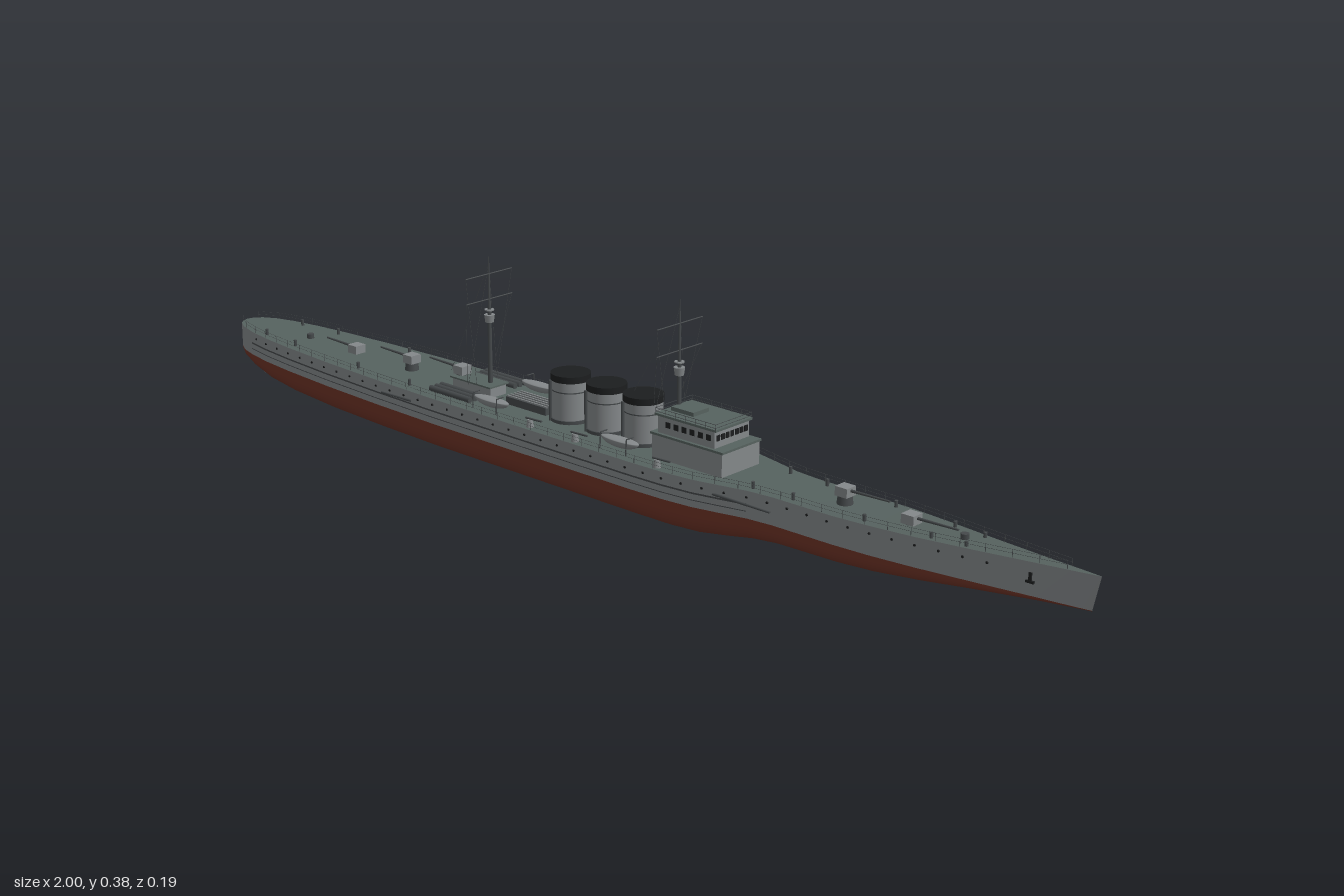
import * as THREE from 'three';
import { mergeGeometries } from 'three/addons/utils/BufferGeometryUtils.js';

const mat = (name, color, side = THREE.FrontSide) => {
  const m = new THREE.MeshStandardMaterial({ color, side });
  m.name = name;
  return m;
};

// Hull stations: x, half beam, deck height, keel height
const WATER = 0.06;
const stations = [
  [-1, 0, 0.108, 0.059], [-0.996, 0.014, 0.108, 0.057], [-0.985, 0.027, 0.108, 0.052], [-0.96, 0.041, 0.108, 0.042],
  [-0.92, 0.053, 0.108, 0.029], [-0.86, 0.064, 0.108, 0.016], [-0.78, 0.073, 0.108, 0.008], [-0.65, 0.083, 0.108, 0.003],
  [-0.5, 0.09, 0.108, 0.001], [-0.35, 0.094, 0.108, 0], [-0.1, 0.095, 0.108, 0], [0.15, 0.095, 0.108, 0],
  [0.22, 0.093, 0.108, 0], [0.28, 0.087, 0.108, 0.002], [0.33, 0.076, 0.108, 0.008], [0.38, 0.064, 0.108, 0.015],
  [0.43, 0.059, 0.108, 0.019], [0.55, 0.058, 0.108, 0.021], [0.62, 0.054, 0.109, 0.024], [0.7, 0.045, 0.11, 0.031],
  [0.8, 0.03, 0.112, 0.042], [0.9, 0.014, 0.115, 0.052], [0.96, 0.005, 0.117, 0.057], [0.988, 0, 0.118, 0.059],
];

function hullAt(x) {
  let i = 1;
  while (i < stations.length - 1 && stations[i][0] < x) i++;
  const a = stations[i - 1], b = stations[i], t = (x - a[0]) / (b[0] - a[0]);
  return a.map((v, k) => v + (b[k] - v) * t);
}

// Skin a list of cross-sections, each running so that the outside faces out
function skin(sections) {
  const n = sections[0].length, pos = [], idx = [];
  sections.forEach((s) => s.forEach((p) => pos.push(...p)));
  for (let i = 0; i < sections.length - 1; i++) {
    for (let j = 0; j < n - 1; j++) {
      const a = i * n + j, b = a + 1, c = a + n, d = c + 1;
      idx.push(a, b, c, b, d, c);
    }
  }
  const g = new THREE.BufferGeometry();
  g.setAttribute('position', new THREE.Float32BufferAttribute(pos, 3));
  g.setIndex(idx);
  g.computeVertexNormals();
  g.deleteAttribute('uv');
  return g;
}

const rake = (x, y) => x + Math.max(0, (x - 0.8) / 0.188) * 0.012 * Math.max(0, (y - WATER) / 0.058);

function box(w, h, d, x, y, z) {
  return new THREE.BoxGeometry(w, h, d).translate(x, y, z);
}
function cyl(r1, r2, h, x, y, z, n = 16, open = false) {
  return new THREE.CylinderGeometry(r1, r2, h, n, 1, open).translate(x, y, z);
}
function rod(a, b, r, n = 5, r2 = r) {
  const p = new THREE.Vector3(...a), q = new THREE.Vector3(...b), d = q.clone().sub(p);
  const g = new THREE.CylinderGeometry(r2, r, d.length(), n);
  g.applyQuaternion(new THREE.Quaternion().setFromUnitVectors(new THREE.Vector3(0, 1, 0), d.normalize()));
  return g.translate(...p.add(q).multiplyScalar(0.5).toArray());
}

export function createModel() {
  const ship = new THREE.Group();
  ship.name = 'warship';
  const grey = mat('hullGrey', 0x84888a);
  const deckMat = mat('deckGreen', 0x56625f);
  const red = mat('bottomRed', 0x6e3326);
  const black = mat('black', 0x1c1e1f, THREE.DoubleSide);
  const dark = mat('darkGrey', 0x45494b);
  const add = (name, m, ...geos) => {
    const mesh = new THREE.Mesh(geos.length > 1 ? mergeGeometries(geos) : geos[0], m);
    mesh.name = name;
    ship.add(mesh);
  };

  // Hull: two sides, underwater body, deck
  const side = (s, y0, y1, off = 0, list = stations) => skin(list.map(([x, w, d]) => {
    const hi = y1 ?? d, z = s * (w + off);
    const top = [rake(x, hi), hi, z], low = [rake(x, y0), y0, z];
    return s > 0 ? [top, low] : [low, top];
  }));
  add('hullSides', grey, side(1, WATER), side(-1, WATER));
  add('hullBottom', red, skin(stations.map(([x, w, , keel]) => {
    const n = x > 0.6 ? 2 + (0.99 - x) * 3 : 3.3, ring = [];
    for (let j = 0; j <= 24; j++) {
      const t = (j / 24) * Math.PI, c = Math.cos(t);
      ring.push([x, WATER - (WATER - keel) * Math.pow(Math.abs(Math.sin(t)), 2 / n),
        j === 12 ? 0 : w * Math.sign(c) * Math.pow(Math.abs(c), 2 / n)]);
    }
    return ring;
  })));
  add('deck', deckMat, skin(stations.map(([x, w, d]) => [[rake(x, d), d, -w], [rake(x, d), d, w]])));
  const beltStations = stations.filter(([x]) => x > -0.95 && x < 0.4);
  add('sideBelts', dark, ...[1, -1].flatMap((s) => [side(s, 0.0835, 0.0865, 0.0008, beltStations),
    side(s, 0.072, 0.0735, 0.0008, beltStations)]));
  add('rudder', grey, box(0.07, 0.034, 0.005, -0.915, 0.022, 0));

  // Portholes and anchors
  const ports = [], anchors = [];
  for (const s of [1, -1]) {
    for (let x = -0.9; x < 0.86; x += 0.04) {
      ports.push(new THREE.CylinderGeometry(0.0022, 0.0022, 0.004, 8).rotateX(Math.PI / 2).translate(x, 0.097, s * hullAt(x)[1]));
    }
    anchors.push(box(0.005, 0.016, 0.004, 0.89, 0.09, s * 0.0165), box(0.014, 0.004, 0.005, 0.89, 0.083, s * 0.0165));
  }
  add('portholes', black, ...ports);
  add('anchors', black, ...anchors);

  // Deck railing
  const rails = [];
  for (const s of [1, -1]) {
    const edge = (x, h) => { const [, w, d] = hullAt(x); return [rake(x, d), d + h, s * Math.max(w - 0.002, 0)]; };
    for (let i = 0; i < 48; i++) {
      const x = -0.99 + i * 0.041, e = edge(x, 0);
      rails.push(rod(e, edge(x, 0.013), 0.0006, 4));
      if (i < 47) for (const h of [0.007, 0.013]) rails.push(rod(edge(x, h), edge(x + 0.041, h), 0.0003, 3));
    }
  }
  add('railing', dark, ...rails);

  // Bridge: two storeys with dark windows and walkable roofs
  add('bridgeLower', grey, box(0.155, 0.042, 0.096, 0.235, 0.129, 0));
  add('bridgeUpper', grey, box(0.125, 0.034, 0.088, 0.23, 0.167, 0));
  add('bridgeRoofs', deckMat, box(0.16, 0.004, 0.1, 0.235, 0.151, 0), box(0.135, 0.004, 0.094, 0.23, 0.185, 0),
    box(0.05, 0.008, 0.04, 0.2, 0.19, 0));
  const panes = [];
  for (let i = -3; i <= 3; i++) panes.push(box(0.002, 0.01, 0.008, 0.293, 0.17, i * 0.0118));
  for (const s of [1, -1]) for (let i = 0; i < 6; i++) panes.push(box(0.01, 0.01, 0.002, 0.19 + i * 0.018, 0.17, s * 0.0442));
  add('bridgeWindows', black, ...panes);
  const roofRail = [];
  for (const h of [0.19, 0.196]) {
    for (const s of [1, -1]) roofRail.push(rod([0.164, h, s * 0.046], [0.296, h, s * 0.046], 0.0005, 4));
    for (const x of [0.164, 0.296]) roofRail.push(rod([x, h, -0.046], [x, h, 0.046], 0.0005, 4));
  }
  for (let i = 0; i < 7; i++) for (const s of [1, -1]) {
    const x = 0.164 + i * 0.022;
    roofRail.push(rod([x, 0.185, s * 0.046], [x, 0.196, s * 0.046], 0.0006, 4));
  }
  add('bridgeRailing', dark, ...roofRail);

  // Three funnels with black caps
  for (const x of [-0.08, 0.007, 0.094]) {
    add('funnel', grey, cyl(0.034, 0.034, 0.08, x, 0.147, 0, 28));
    add('funnelCap', black, cyl(0.036, 0.036, 0.012, x, 0.189, 0, 28));
    add('funnelBands', dark, cyl(0.0348, 0.0348, 0.002, x, 0.165, 0, 28), cyl(0.037, 0.037, 0.006, x, 0.111, 0, 28));
    add('steamPipes', dark, ...[1, -1].map((s) => cyl(0.003, 0.003, 0.075, x - 0.02, 0.145, s * 0.031, 8)));
  }

  // Masts with lookout, yards and rigging
  for (const [x, top, foot] of [[0.175, 0.377, 0.19], [-0.285, 0.367, 0.13]]) {
    add('mast', dark, rod([x, 0.108, 0], [x, 0.27, 0], 0.0045, 10, 0.0035), rod([x, 0.27, 0], [x, top, 0], 0.003, 8, 0.0008));
    add('lookout', grey, cyl(0.01, 0.008, 0.014, x, 0.252, 0, 12), cyl(0.009, 0.009, 0.002, x, 0.268, 0, 12));
    const yards = [0.335, 0.288].map((y) => rod([x, y, -0.057], [x, y, 0.057], 0.0012, 6));
    const lines = [rod([x, top - 0.01, 0], [x - 0.105, foot, 0], 0.0004, 3)];
    for (const s of [1, -1]) {
      lines.push(rod([x, top - 0.01, 0], [x - 0.02, foot, s * 0.036], 0.0004, 3));
      lines.push(rod([x, 0.335, s * 0.057], [x - 0.01, foot, s * 0.025], 0.0004, 3));
      lines.push(rod([x, 0.288, s * 0.057], [x - 0.03, foot, s * 0.03], 0.0004, 3));
    }
    add('yards', dark, ...yards);
    add('rigging', dark, ...lines);
  }

  // Centreline guns: x, base height, firing direction
  for (const [x, y, dir] of [[0.66, 0.11, 1], [0.53, 0.122, 1], [-0.36, 0.131, -1], [-0.5, 0.122, -1], [-0.66, 0.108, -1]]) {
    add('gunMount', dark, cyl(0.012, 0.014, y - 0.104, x, (y + 0.104) / 2, 0, 14));
    add('gunShield', grey, box(0.024, 0.016, 0.024, x, y + 0.008, 0));
    add('gunBarrel', dark, rod([x, y + 0.01, 0], [x + dir * 0.088, y + 0.012, 0], 0.0028, 8, 0.0018));
  }

  // Aft deckhouse, skylight gratings and small deck fittings
  add('aftDeckhouse', grey, box(0.1, 0.02, 0.04, -0.315, 0.117, 0));
  add('aftDeckhouseRoof', deckMat, box(0.106, 0.003, 0.048, -0.315, 0.1285, 0));
  add('skylight', dark, box(0.1, 0.014, 0.042, -0.173, 0.115, 0));
  add('skylightBars', grey, ...[-2, -1, 0, 1, 2].map((i) => box(0.1, 0.003, 0.003, -0.173, 0.1225, i * 0.0085)));
  const fittings = [];
  for (const x of [-0.88, -0.78, -0.58, -0.43, 0.38, 0.46, 0.6, 0.72, 0.78]) {
    for (const s of [1, -1]) fittings.push(cyl(0.003, 0.003, 0.012, x, 0.114, s * hullAt(x)[1] * 0.75, 8));
  }
  fittings.push(cyl(0.007, 0.007, 0.01, 0.76, 0.115, 0, 10), cyl(0.007, 0.007, 0.01, -0.8, 0.112, 0, 10));
  add('bollards', dark, ...fittings);

  for (const s of [1, -1]) {
    // Launch tubes beside the deckhouse
    add('launchTubes', dark, ...[0, 1, 2].map((i) => rod([-0.37, 0.117, s * (0.044 + i * 0.013)], [-0.265, 0.117, s * (0.044 + i * 0.013)], 0.0055, 10)));
    // Lifeboats on cradles, hung from davits
    for (const x of [-0.22, 0.095]) {
      const boat = new THREE.SphereGeometry(1, 20, 8, 0, Math.PI * 2, Math.PI / 2, Math.PI / 2);
      add('lifeboat', grey, boat.scale(0.043, 0.014, 0.013).translate(x, 0.126, s * 0.06));
      const cover = new THREE.SphereGeometry(1, 20, 6, 0, Math.PI * 2, 0, Math.PI / 2);
      add('lifeboatCover', grey, cover.scale(0.043, 0.003, 0.013).translate(x, 0.126, s * 0.06));
      add('davits', dark, ...[-0.03, 0.03].flatMap((d) => [rod([x + d, 0.108, s * 0.078], [x + d, 0.137, s * 0.076], 0.0012),
        rod([x + d, 0.137, s * 0.076], [x + d, 0.137, s * 0.06], 0.0012)]));
    }
    // Deck-edge guns
    for (const x of [-0.1, 0.01, 0.2]) {
      add('lightGunMount', grey, cyl(0.005, 0.007, 0.014, x, 0.115, s * 0.082, 10));
      add('lightGunBarrel', dark, rod([x - 0.01, 0.123, s * 0.082], [x + 0.03, 0.125, s * 0.083], 0.0018, 6));
    }
    // Forward and aft casemate guns in the hull sides
    add('casemateGuns', dark, rod([0.3, 0.09, s * 0.076], [0.44, 0.09, s * 0.078], 0.0028, 8, 0.0018),
      rod([-0.4, 0.09, s * 0.092], [-0.48, 0.09, s * 0.095], 0.0025, 8, 0.0018));
  }
  return ship;
}
